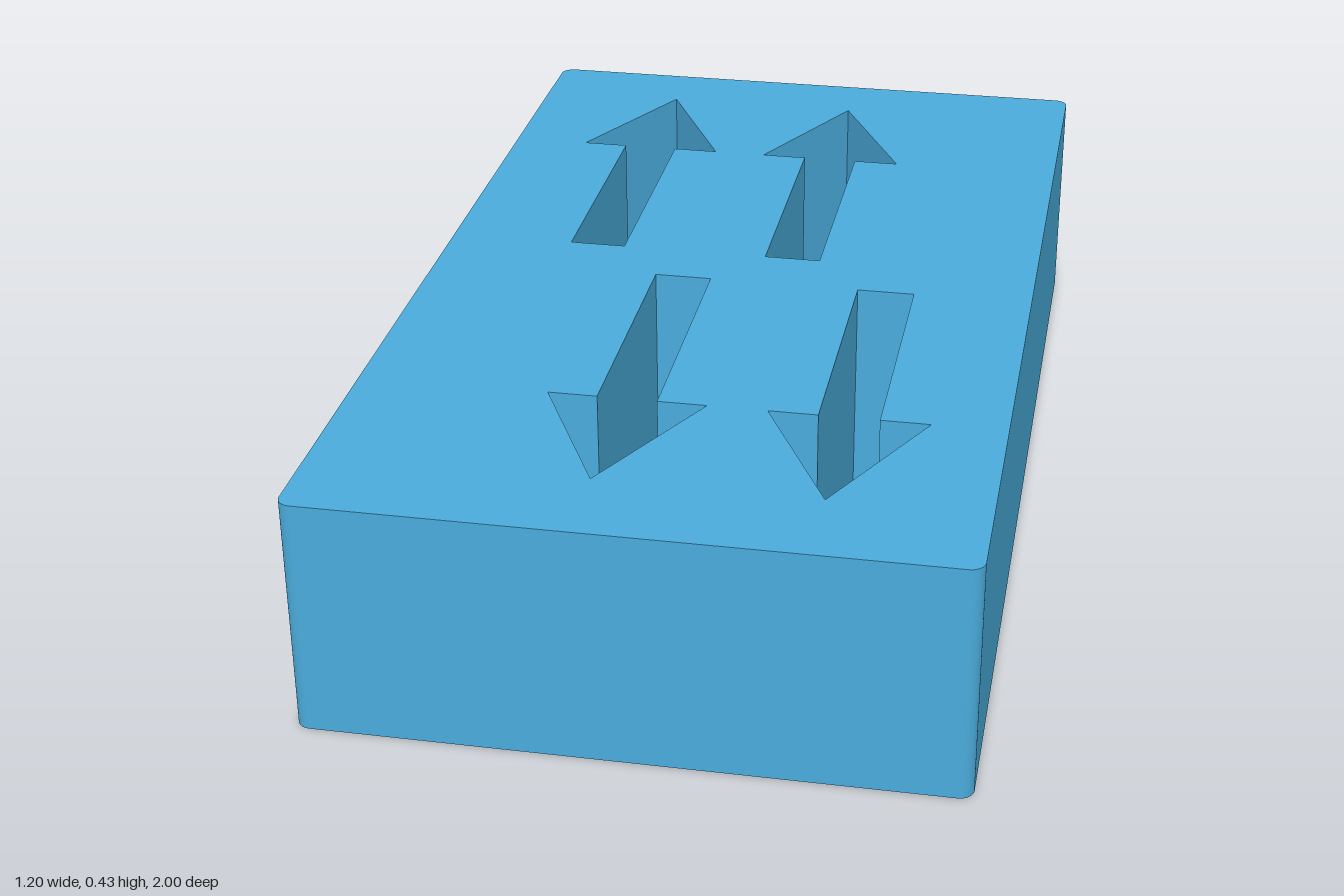
import * as THREE from 'three';

const WIDTH = 1.12, LENGTH = 1.956, HEIGHT = 0.425, RADIUS = 0.025;
const YAW = -THREE.MathUtils.degToRad(2.4);

// Rounded rectangle centred on the origin
function slabOutline(w, l, r) {
  const x = w / 2 - r, y = l / 2 - r;
  const shape = new THREE.Shape();
  shape.absarc(x, y, r, 0, Math.PI / 2);
  shape.absarc(-x, y, r, Math.PI / 2, Math.PI);
  shape.absarc(-x, -y, r, Math.PI, Math.PI * 1.5);
  shape.absarc(x, -y, r, Math.PI * 1.5, Math.PI * 2);
  shape.closePath();
  return shape;
}

// Arrow cut-out starting at (x, y), pointing along dir (+1 or -1)
function arrowHole(x, y, dir) {
  const shaft = 0.052, barb = 0.138, neck = 0.492, tip = 0.768;
  const points = [
    [-shaft, 0], [-shaft, neck], [-barb, neck], [0, tip],
    [barb, neck], [shaft, neck], [shaft, 0],
  ];
  return new THREE.Path(points.map(([px, py]) => new THREE.Vector2(x + px, y + dir * py)));
}

export function createModel() {
  const group = new THREE.Group();
  group.name = 'arrowBlock';

  // Slab with four arrows cut right through
  const outline = slabOutline(WIDTH, LENGTH, RADIUS);
  for (const x of [-0.277, 0.1]) outline.holes.push(arrowHole(x, 0.072, 1));
  for (const x of [-0.088, 0.292]) outline.holes.push(arrowHole(x, -0.042, -1));

  const geometry = new THREE.ExtrudeGeometry(outline, {
    depth: HEIGHT, bevelEnabled: false, curveSegments: 8,
  });
  geometry.rotateX(-Math.PI / 2);

  const slab = new THREE.Mesh(geometry, new THREE.MeshStandardMaterial({ color: 0x4aabdb }));
  slab.name = 'slabWithArrowCutouts';
  slab.rotation.y = YAW;
  group.add(slab);
  return group;
}
